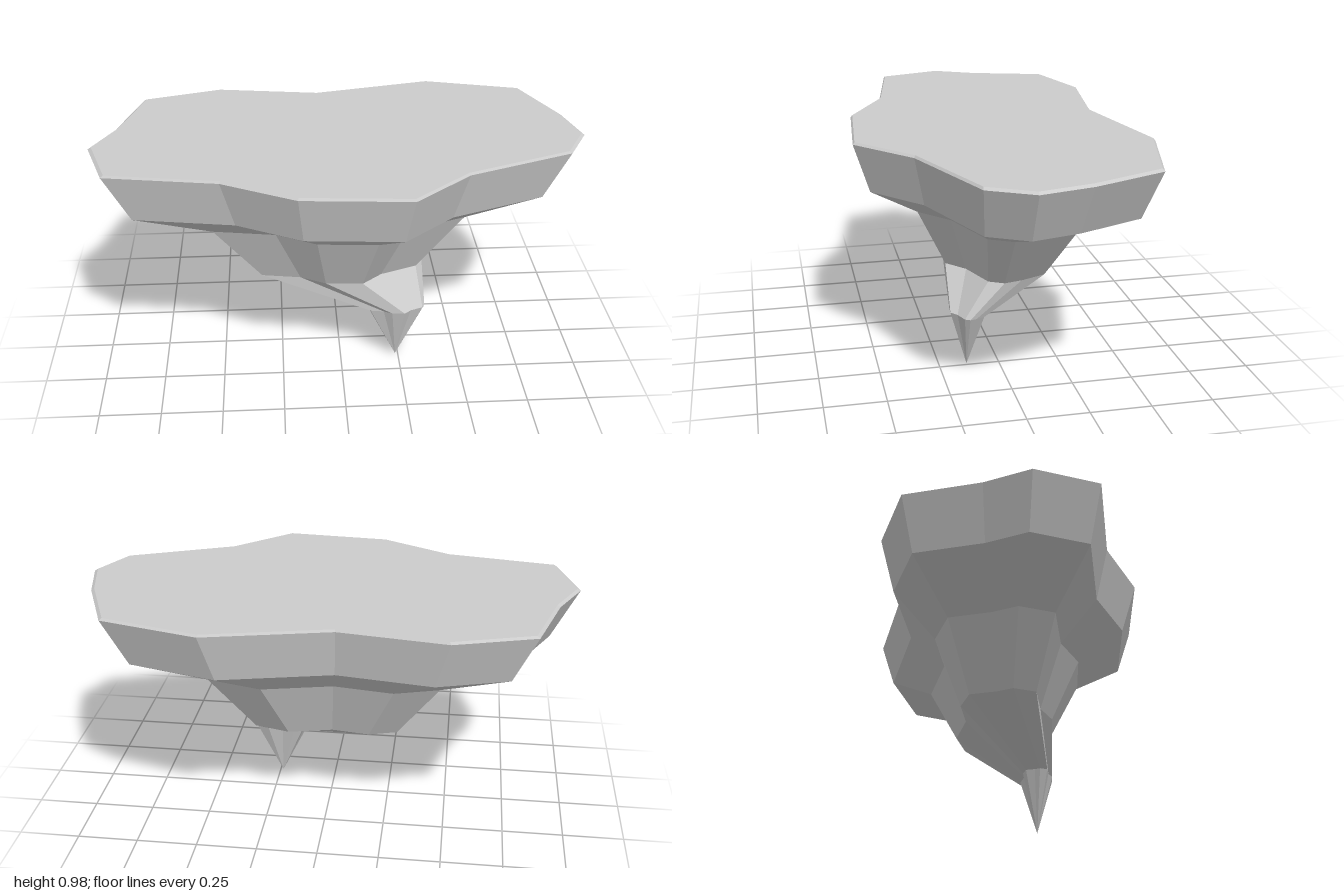
import * as THREE from 'three';

// Wavy island outline, counter-clockwise seen from above: [x, z]
const outline = [
  [-1, 0.05], [-0.92, 0.31], [-0.47, 0.385], [-0.18, 0.54], [0.25, 0.573],
  [0.48, 0.37], [0.91, 0.2], [1, 0.03], [0.95, -0.18], [0.83, -0.47],
  [0.43, -0.577], [-0.07, -0.467], [-0.5, -0.53], [-0.82, -0.435], [-0.91, -0.13],
];

// Joins scaled copies of the outline from top to bottom; scale 0 closes to a point
function loft(name, rings, material) {
  const positions = [];
  const n = outline.length;
  const point = (ring, i) => {
    const [x, z] = outline[i % n];
    return [ring.x + x * ring.s, ring.y, ring.z + z * ring.s];
  };
  for (let r = 0; r < rings.length - 1; r++) {
    const top = rings[r], low = rings[r + 1];
    for (let i = 0; i < n; i++) {
      const a = point(top, i), b = point(top, i + 1);
      const c = point(low, i), d = point(low, i + 1);
      if (low.s > 0) positions.push(...a, ...c, ...d);
      if (top.s > 0) positions.push(...a, ...(low.s > 0 ? d : c), ...b);
    }
  }
  const geometry = new THREE.BufferGeometry();
  geometry.setAttribute('position', new THREE.Float32BufferAttribute(positions, 3));
  geometry.computeVertexNormals();
  const mesh = new THREE.Mesh(geometry, material);
  mesh.name = name;
  return mesh;
}

const ring = (y, s, x = 0, z = 0) => ({ y, s, x, z });

export function createModel() {
  const group = new THREE.Group();
  group.name = 'floatingIsland';
  const material = new THREE.MeshStandardMaterial({ color: 0xcccccc, flatShading: true });

  const edge = ring(0.975, 1);
  const shoulder = ring(0.773, 0.893, 0, -0.002);
  const neck = ring(0.25, 0.121, 0.237, 0.136);

  // Flat top with a narrow bevelled rim
  group.add(loft('topPlateau', [ring(0.984, 0), ring(0.984, 0.987), edge], material));
  // Upper cliff band
  group.add(loft('upperCliff', [edge, shoulder], material));
  // Tapering underside, sweeping off-centre
  group.add(loft('underside', [shoulder, ring(0.65, 0.565, 0, -0.01), ring(0.398, 0.357, 0, -0.011), neck], material));
  // Pointed bottom spike
  group.add(loft('spike', [neck, ring(0, 0, 0.238, 0.135)], material));
  return group;
}
